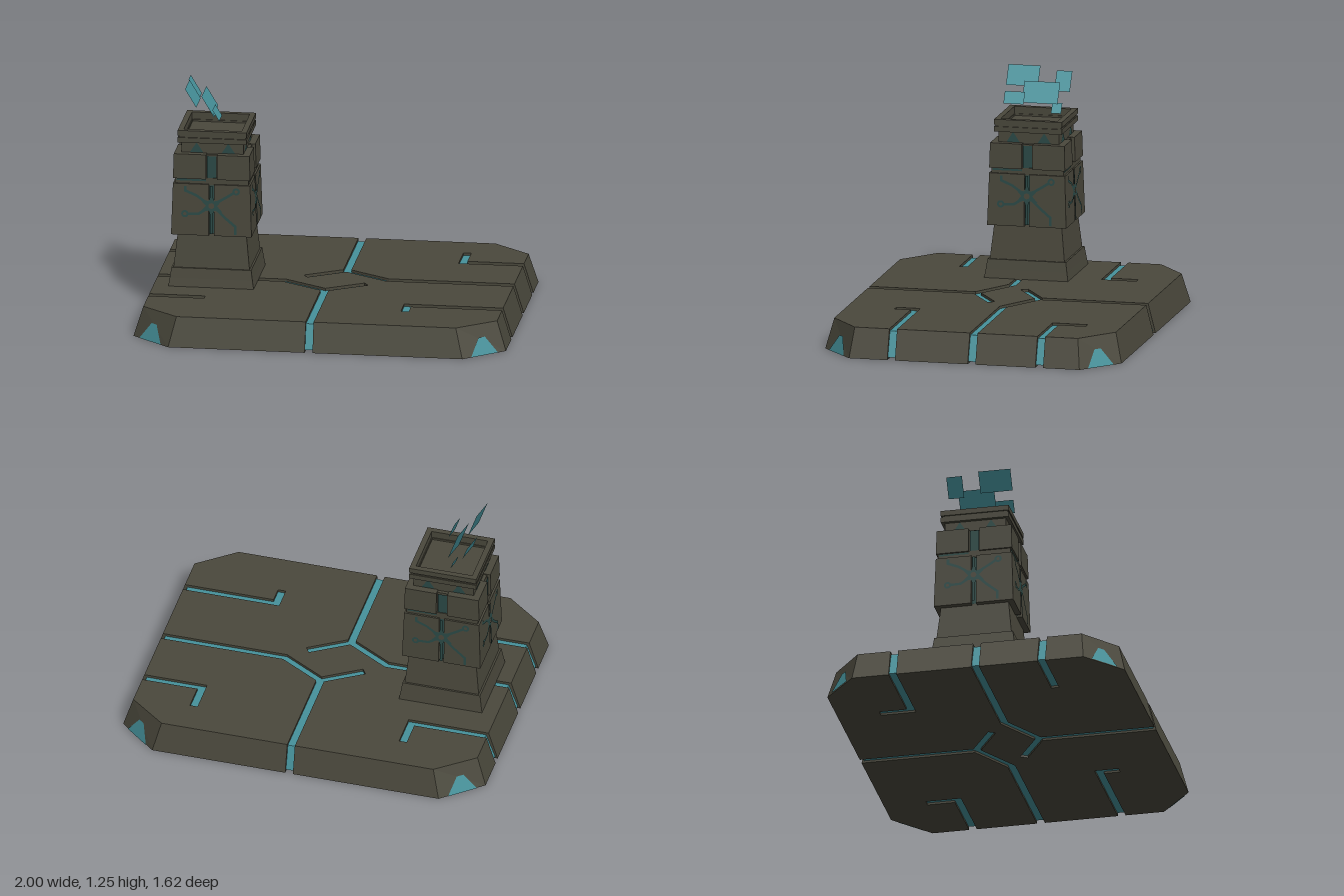
import * as THREE from 'three';

const stone = new THREE.MeshStandardMaterial({ color: 0x4a483c });
stone.name = 'dark stone';
const teal = new THREE.MeshStandardMaterial({ color: 0x46929b, side: THREE.DoubleSide });
teal.name = 'teal glow';
const deepTeal = new THREE.MeshStandardMaterial({ color: 0x2b4a47, side: THREE.DoubleSide });
deepTeal.name = 'deep teal';

const H = 0.021; // half width of the floor channels

function add(parent, name, geo, mat) {
  const m = new THREE.Mesh(geo, mat);
  m.name = name;
  parent.add(m);
  return m;
}
const flat = (g) => {
  const n = g.index ? g.toNonIndexed() : g;
  n.computeVertexNormals();
  return n;
};

// Mitred offset of a polyline to its left
function off(path, d) {
  const dirs = path.slice(1).map((p, i) => {
    const dx = p[0] - path[i][0], dy = p[1] - path[i][1], l = Math.hypot(dx, dy);
    return [dx / l, dy / l];
  });
  return path.map(([x, y], i) => {
    const a = dirs[Math.max(i - 1, 0)], b = dirs[Math.min(i, dirs.length - 1)];
    const k = d / (1 + a[0] * b[0] + a[1] * b[1]);
    return [x - (a[1] + b[1]) * k, y + (a[0] + b[0]) * k];
  });
}
const strip = (path, d) => [...off(path, d), ...off([...path].reverse(), d)];
const turn = (pts) => pts.map(([x, y]) => [-x, -y]);
const toShape = (pts) => new THREE.Shape(pts.map((p) => new THREE.Vector2(...p)));

// Upright slab whose outer rim leans inwards
function slab(pts, y0, y1, inset) {
  const g = new THREE.ExtrudeGeometry(toShape(pts), { depth: y1 - y0, bevelEnabled: false });
  g.rotateX(-Math.PI / 2).translate(0, y0, 0);
  const p = g.attributes.position;
  for (let i = 0; i < p.count; i++) {
    const x = p.getX(i), z = p.getZ(i), ax = Math.abs(x), az = Math.abs(z);
    const top = p.getY(i) > 0.08;
    let nx = ax, nz = az;
    if (ax > 0.99) {
      nx = (top ? 0.95 : 1) - inset;
      if (top && Math.abs(az - 0.63) < 0.005) nz = 0.61;
    }
    if (az > 0.8) {
      nz = (top ? 0.77 : 0.81) - inset;
      if (top && Math.abs(ax - 0.79) < 0.005) nx = 0.75;
    }
    p.setX(i, Math.sign(x) * nx);
    p.setZ(i, Math.sign(z) * nz);
  }
  return flat(g);
}

// Square block, tapered from half width w0 to w1
function frustum(w0, w1, y0, y1) {
  const g = new THREE.CylinderGeometry(w1 * Math.SQRT2, w0 * Math.SQRT2, y1 - y0, 4);
  g.rotateY(Math.PI / 4).translate(0, (y0 + y1) / 2, 0);
  return flat(g);
}

// Corner cladding block between a central gap and the tapered outer faces
function cornerBlock(gap, w0, w1, y0, y1) {
  const g = new THREE.BoxGeometry(1, 1, 1);
  const p = g.attributes.position;
  for (let i = 0; i < p.count; i++) {
    const top = p.getY(i) > 0, w = top ? w1 : w0;
    p.setXYZ(i, p.getX(i) > 0 ? w : gap, top ? y1 : y0, p.getZ(i) > 0 ? w : gap);
  }
  return flat(g);
}

function squareRing(outer, inner, y0, y1) {
  const sq = (r) => [[-r, -r], [r, -r], [r, r], [-r, r]];
  const s = toShape(sq(outer));
  s.holes.push(new THREE.Path(sq(inner).reverse().map((p) => new THREE.Vector2(...p))));
  const g = new THREE.ExtrudeGeometry(s, { depth: y1 - y0, bevelEnabled: false });
  return g.rotateX(-Math.PI / 2).translate(0, y0, 0);
}

function buildBase() {
  const base = new THREE.Group();
  base.name = 'base';
  const edgeB = [0.035, 0.81], node = [0.035, 0.18], bend = [0.27, 0.04], edgeR = [1, 0.04], spur = [-0.17, 0.05];
  const backRight = [[1, 0.41], [0.625, 0.41], [0.625, 0.58]];
  const backLeft = [[-1, 0.41], [-0.53, 0.41], [-0.53, 0.58]];
  const frontRight = [[1, -0.4], [0.44, -0.4], [0.44, -0.51]];
  const frontLeft = [[-1, -0.4], [-0.65, -0.4]];
  const fork = [...off([edgeR, bend, node, spur], H), ...off([spur, node, edgeB], H)];
  const mainRun = [edgeB, node, bend, edgeR];
  const side = off(mainRun, H);
  const cornerBR = [[1, 0.63], [0.79, 0.81]], cornerBL = [[-0.79, 0.81], [-1, 0.63]];

  // Three stone slabs separated by the channels
  const slabs = {
    middleSlab: [...cornerBL, ...strip(backLeft, H), ...turn(fork), ...turn(cornerBL), ...strip(frontRight, H), ...fork],
    backRightSlab: [...side, ...strip(backRight, H), ...cornerBR],
    frontLeftSlab: [...turn(side), ...strip(frontLeft, H), ...turn(cornerBR)],
  };
  for (const [name, pts] of Object.entries(slabs)) add(base, name, slab(pts, 0, 0.16, 0), stone);

  // Glowing fill sunk into the channels
  const runs = [mainRun, turn(mainRun), [node, spur], turn([node, spur]), backRight, backLeft, frontRight, frontLeft];
  for (const r of runs) add(base, 'channelGlow', slab(strip(r, H + 0.003), 0.012, 0.146, 0.014), teal);

  // Triangular lights on the cut corners
  for (const sx of [-1, 1]) for (const sz of [-1, 1]) {
    const g = new THREE.ShapeGeometry(toShape([[-0.085, 0.002], [0.085, 0.002], [0.02, 0.098], [-0.02, 0.098]]));
    g.rotateX(-Math.atan(0.052 / 0.16)).rotateY(Math.atan2(sx * 0.65, sz * 0.76));
    g.translate(sx * 0.899, 0, sz * 0.724);
    add(base, 'cornerLight', g, teal);
  }
  return base;
}

// Circuit pattern, lights and slot of one tower face
function buildFace() {
  const face = new THREE.Group();
  face.name = 'towerFace';
  add(face, 'centreSlotGlow', new THREE.PlaneGeometry(0.05, 0.43).translate(0, 0.665, 0.192), deepTeal);
  for (const s of [-1, 1]) {
    const tri = toShape([[-0.036, 0.892], [0.036, 0.892], [0, 0.947]]);
    add(face, 'neckLight', new THREE.ShapeGeometry(tri).translate(s * 0.085, 0, 0.168), deepTeal);
  }
  add(face, 'seamGlow', new THREE.PlaneGeometry(0.16, 0.01).translate(-0.11, 0.747, 0.199), deepTeal);

  const circuit = new THREE.Group();
  circuit.name = 'circuit';
  circuit.position.set(0, 0.61, 0.212);
  circuit.rotation.x = -0.0357;
  face.add(circuit);
  const star = [];
  for (let i = 0; i < 12; i++) {
    const a = (i * Math.PI) / 6 + Math.PI / 2, r = i % 2 ? 0.03 : 0.07;
    star.push([Math.cos(a) * r, Math.sin(a) * r]);
  }
  add(circuit, 'star', new THREE.ShapeGeometry(toShape(star)), deepTeal);
  add(circuit, 'hub', new THREE.CircleGeometry(0.016, 12).translate(0, 0, 0.003), stone);
  const traces = [
    [[0.03, 0.02], [0.08, 0.05], [0.12, 0.076]],
    [[-0.03, 0.02], [-0.08, 0.055], [-0.14, 0.08], [-0.14, 0.105]],
    [[-0.03, -0.02], [-0.07, -0.046], [-0.125, -0.048]],
    [[0.03, -0.02], [0.07, -0.06], [0.13, -0.11], [0.13, -0.155]],
    [[0, -0.03], [0, -0.155]],
    [[0, 0.03], [0, 0.11]],
  ];
  for (const t of traces) add(circuit, 'trace', new THREE.ShapeGeometry(toShape(turn(turn(strip(t, 0.007))))).translate(0, 0, 0.001), deepTeal);
  for (const [x, y] of [[0.133, 0.083], [-0.142, -0.048]])
    add(circuit, 'terminal', new THREE.RingGeometry(0.009, 0.02, 14).translate(x, y, 0.001), deepTeal);
  return face;
}

function buildTower() {
  const tower = new THREE.Group();
  tower.name = 'tower';
  tower.position.x = -0.64;
  // Plinth, shaft, seam and neck
  add(tower, 'plinth', frustum(0.23, 0.222, 0.155, 0.205), stone);
  add(tower, 'plinthStep', frustum(0.222, 0.214, 0.205, 0.26), stone);
  add(tower, 'shaft', frustum(0.204, 0.184, 0.26, 0.45), stone);
  add(tower, 'core', frustum(0.184, 0.184, 0.45, 0.885), stone);
  add(tower, 'seam', cornerBlock(-0.197, 0.197, 0.197, 0.72, 0.76), stone);
  add(tower, 'neck', frustum(0.166, 0.166, 0.885, 0.95), stone);

  for (let k = 0; k < 4; k++) {
    const quarter = new THREE.Group();
    quarter.name = 'towerQuarter';
    quarter.rotation.y = (k * Math.PI) / 2;
    add(quarter, 'lowerPanel', cornerBlock(0.014, 0.216, 0.207, 0.445, 0.727), stone);
    add(quarter, 'upperPanel', cornerBlock(0.03, 0.207, 0.203, 0.755, 0.89), stone);
    quarter.add(buildFace());
    tower.add(quarter);
  }

  // Hollow cap with a groove and a sunken floor
  add(tower, 'capLower', squareRing(0.185, 0.15, 0.948, 0.976), stone);
  add(tower, 'capGroove', squareRing(0.178, 0.155, 0.976, 0.986), stone);
  add(tower, 'capRim', squareRing(0.185, 0.155, 0.986, 1.015), stone);
  add(tower, 'capFloor', frustum(0.152, 0.152, 0.948, 0.966), stone);
  return tower;
}

// Tilted light panes above the tower: [x centre, y low, y high, z low, z high]
function buildPanes() {
  const panes = new THREE.Group();
  panes.name = 'floatingPanes';
  const list = [
    [-0.755, 1.145, 1.245, 0.01, 0.185],
    [-0.68, 1.07, 1.175, -0.115, 0.08],
    [-0.622, 1.07, 1.13, 0.06, 0.17],
    [-0.772, 1.12, 1.22, -0.16, -0.075],
    [-0.682, 1.015, 1.067, -0.13, -0.075],
  ];
  const tilt = Math.atan(0.6);
  for (const [x, y0, y1, z0, z1] of list) {
    const g = new THREE.PlaneGeometry(z1 - z0, (y1 - y0) / Math.cos(tilt));
    g.rotateY(Math.PI / 2).rotateZ(tilt).translate(x, (y0 + y1) / 2, (z0 + z1) / 2);
    add(panes, 'pane', g, teal);
  }
  return panes;
}

export function createModel() {
  const model = new THREE.Group();
  model.name = 'consolePlatform';
  model.add(buildBase(), buildTower(), buildPanes());
  return model;
}
